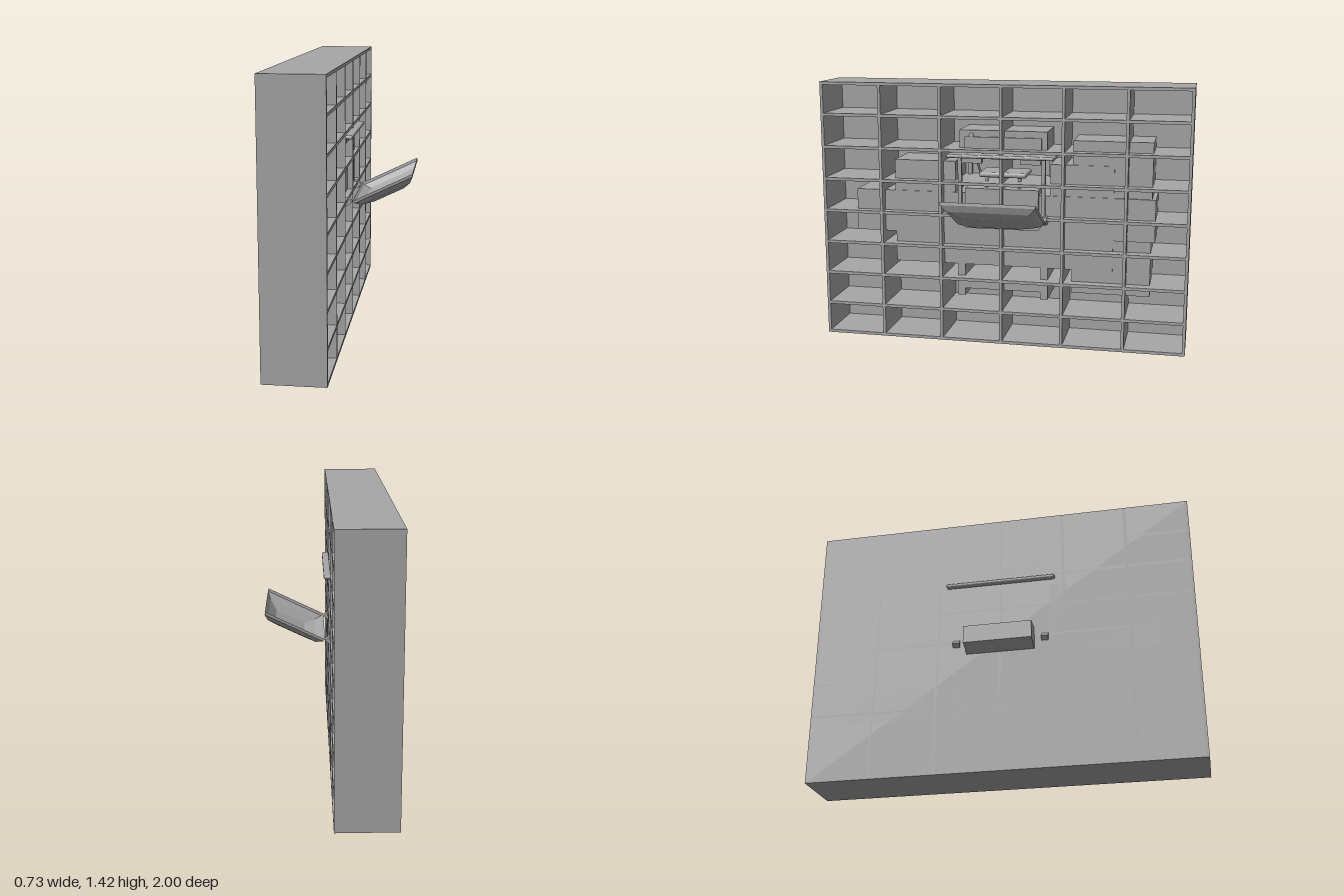
import * as THREE from 'three';
import { RoundedBoxGeometry } from 'three/addons/geometries/RoundedBoxGeometry.js';

const grey = new THREE.MeshStandardMaterial({ color: 0xa6a6a6, flatShading: true, side: THREE.DoubleSide });
grey.name = 'grey';

export function createModel() {
  const root = new THREE.Group();

  const add = (name, geometry, parent = root) => {
    const mesh = new THREE.Mesh(geometry, grey);
    mesh.name = name;
    parent.add(mesh);
    return mesh;
  };
  // box given by its limits on each axis
  const box = (name, x0, x1, y0, y1, z0, z1, parent = root) => {
    const m = add(name, new THREE.BoxGeometry(x1 - x0, y1 - y0, z1 - z0), parent);
    m.position.set((x0 + x1) / 2, (y0 + y1) / 2, (z0 + z1) / 2);
    return m;
  };
  const group = (name) => {
    const g = new THREE.Group();
    g.name = name;
    root.add(g);
    return g;
  };
  // prism along z from an x-y outline
  const prism = (name, points, z0, z1, parent = root) => {
    const shape = new THREE.Shape(points.map(p => new THREE.Vector2(...p)));
    const m = add(name, new THREE.ExtrudeGeometry(shape, { depth: z1 - z0, bevelEnabled: false }), parent);
    m.position.z = z0;
    return m;
  };

  // open cabinet: closed back, six columns and eight rows of cells
  const X0 = -0.28, X1 = 0.03, H = 1.42, t = 0.008;
  const cabinet = group('cabinet');
  box('backPanel', X0, X0 + 0.01, 0, H, -1, 1, cabinet);
  for (let i = 0; i <= 6; i++) {
    const z = THREE.MathUtils.clamp(-1 + i / 3, -1 + t, 1 - t);
    box('upright', X0, X1, 0, H, z - t, z + t, cabinet);
  }
  for (let i = 0; i <= 8; i++) {
    const y = THREE.MathUtils.clamp(i * H / 8, t, H - t);
    box('shelf', X0, X1, y - t, y + t, -1, 1, cabinet);
  }

  // stepped blocks inside the cells
  const blocks = group('innerBlocks');
  box('wideBlock', X0, -0.02, 0.60, 0.83, -0.82, 0.82, blocks);
  for (const s of [-1, 1]) {
    box('sideBlock', X0, -0.025, 0.43, 1.0, s < 0 ? -0.6 : 0.26, s < 0 ? -0.26 : 0.6, blocks);
    box('leg', X0, -0.03, 0.25, 0.43, s * 0.23 - 0.02, s * 0.23 + 0.02, blocks);
  }
  box('lowerBlock', X0, -0.025, 0.43, 0.64, -0.26, 0.26, blocks);
  box('offsetBlock', X0, -0.03, 0.30, 1.13, -0.80, -0.38, blocks);
  box('footBlock', X0, -0.03, 0.29, 0.35, -0.21, 0.21, blocks);
  box('topBlock', X0, -0.04, 1.07, 1.17, -0.24, 0.24, blocks);
  box('topBlockFace', -0.05, -0.03, 1.07, 1.135, -0.21, 0.21, blocks);

  // cabin: roof plate, posts, lamps and body
  const cabin = group('cabin');
  const roof = add('roofPlate', new RoundedBoxGeometry(0.365, 0.02, 0.58, 2, 0.009), cabin);
  roof.position.set(-0.122, 1.04, 0);
  for (const s of [-1, 1]) {
    for (const x of [-0.25, 0]) box('post', x - 0.01, x + 0.01, 0.72, 1.035, s * 0.228 - 0.01, s * 0.228 + 0.01, cabin);
    box('lamp', -0.02, 0.02, 1.0, 1.03, s * 0.16 - 0.055, s * 0.16 + 0.055, cabin);
    // pointed side arms passing through the cabinet
    prism('sideArm', [[-0.297, 0.70], [-0.28, 0.68], [0.03, 0.68], [0.055, 0.70], [0.03, 0.72], [-0.28, 0.72]],
      s * 0.232 - 0.018, s * 0.232 + 0.018, cabin);
  }
  const hull = prism('hull', [[-0.2, 0.64], [0.2, 0.64], [0.25, 0.72], [-0.25, 0.72]], 0, 0.26, cabin);
  hull.rotation.y = Math.PI / 2;
  hull.position.set(-0.26, 0, 0);
  box('deck', -0.26, 0, 0.72, 0.86, -0.2, 0.2, cabin);

  // seat with tilted backrest and short legs
  const seat = group('seat');
  const cushion = add('cushion', new RoundedBoxGeometry(0.18, 0.028, 0.26, 2, 0.012), seat);
  cushion.position.set(-0.11, 0.932, 0);
  const back = add('backrest', new RoundedBoxGeometry(0.16, 0.13, 0.025, 2, 0.01), seat);
  back.position.set(-0.11, 1.09, 0.165);
  back.rotation.x = 0.15;
  const bracket = new THREE.CatmullRomCurve3([[0.165, 1.04], [0.14, 0.935], [0.12, 0.915], [-0.1, 0.915]]
    .map(([z, y]) => new THREE.Vector3(-0.11, y, z)));
  add('bracket', new THREE.TubeGeometry(bracket, 16, 0.007, 6), seat);
  for (const z of [-0.09, 0.09]) for (const x of [-0.17, -0.05])
    box('seatLeg', x - 0.007, x + 0.007, 0.86, 0.92, z - 0.007, z + 0.007, seat);

  // tilted scoop from nested rectangles: half length, half width, depth
  const rings = [[0.17, 0.247, 0], [0.165, 0.245, -0.015], [0.137, 0.215, -0.042], [0.085, 0.135, -0.066]];
  const corners = [[1, 1], [1, -1], [-1, -1], [-1, 1]];
  const pos = [], idx = [];
  for (const [l, w, d] of rings) for (const [a, b] of corners) pos.push(a * l, d, b * w);
  for (let r = 0; r < rings.length - 1; r++) for (let c = 0; c < 4; c++) {
    const a = r * 4 + c, b = r * 4 + (c + 1) % 4;
    idx.push(a, a + 4, b, b, a + 4, b + 4);
  }
  idx.push(12, 15, 13, 13, 15, 14);
  const bowl = new THREE.BufferGeometry();
  bowl.setAttribute('position', new THREE.Float32BufferAttribute(pos, 3));
  bowl.setIndex(idx);
  bowl.computeVertexNormals();
  const scoop = add('scoop', bowl);
  scoop.position.set(0.207, 0.779, 0);
  scoop.rotation.z = 0.452;

  // open-topped rear bin with sloping floor
  const bin = group('rearBin');
  prism('binOuterWall', [[-0.365, 0.665], [-0.352, 0.661], [-0.352, 0.758], [-0.365, 0.758]], -0.177, 0.177, bin);
  prism('binFloor', [[-0.365, 0.665], [-0.28, 0.638], [-0.28, 0.655], [-0.365, 0.682]], -0.177, 0.177, bin);
  for (const s of [-1, 1])
    prism('binSide', [[-0.365, 0.665], [-0.28, 0.638], [-0.28, 0.758], [-0.365, 0.758]],
      s * 0.171 - 0.006, s * 0.171 + 0.006, bin);
  box('binInnerWall', -0.29, -0.28, 0.65, 0.758, -0.177, 0.177, bin);

  return root;
}
